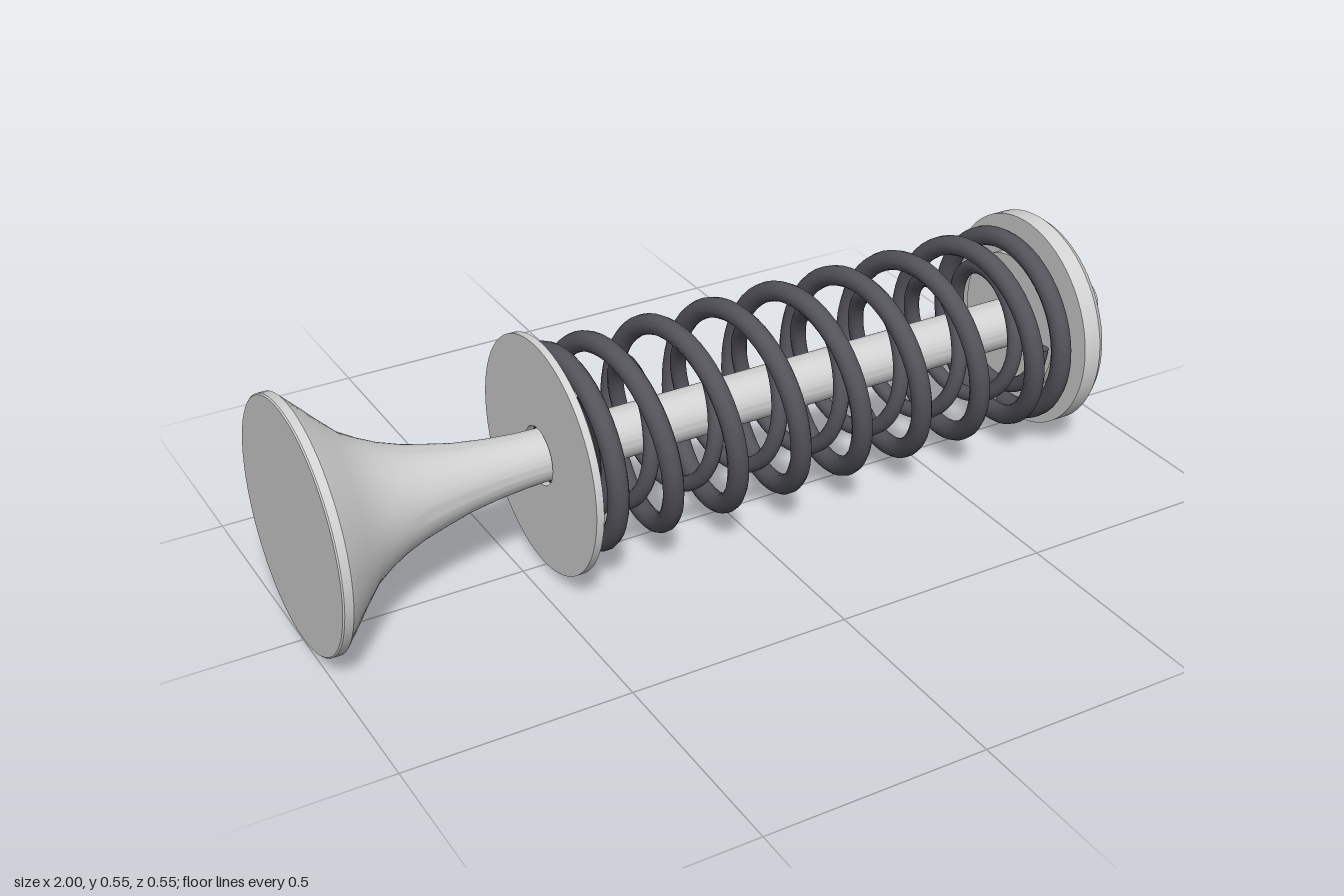
import * as THREE from 'three';
import { toCreasedNormals } from 'three/addons/utils/BufferGeometryUtils.js';

const steel = new THREE.MeshStandardMaterial({ name: 'steel', color: 0xd2d2d2 });
const springSteel = new THREE.MeshStandardMaterial({ name: 'dark spring steel', color: 0x55535b });
const rubber = new THREE.MeshStandardMaterial({ name: 'black rubber', color: 0x2c2c2e });
const brass = new THREE.MeshStandardMaterial({ name: 'brass', color: 0xcbb078 });

// Turned part along x; the profile is a list of [x, radius]
function turned(name, profile, material, crease = 0.5) {
  const points = profile.map(([x, r]) => new THREE.Vector2(r, x));
  const geometry = toCreasedNormals(new THREE.LatheGeometry(points, 64), crease);
  geometry.rotateZ(-Math.PI / 2);
  const mesh = new THREE.Mesh(geometry, material);
  mesh.name = name;
  return mesh;
}

// Helix along x whose pitch follows [turn, x] stops; whole turns are at the top
class Coil extends THREE.Curve {
  constructor(radius, hand, stops) {
    super();
    Object.assign(this, { radius, hand, stops, arcLengthDivisions: 2000 });
  }
  getPoint(t, target = new THREE.Vector3()) {
    const s = this.stops;
    const turn = THREE.MathUtils.lerp(s[0][0], s[s.length - 1][0], t);
    let i = 0;
    while (i < s.length - 2 && turn > s[i + 1][0]) i++;
    const x = THREE.MathUtils.mapLinear(turn, s[i][0], s[i + 1][0], s[i][1], s[i + 1][1]);
    const a = turn * Math.PI * 2;
    return target.set(x, this.radius * Math.cos(a), this.hand * this.radius * Math.sin(a));
  }
}

function spring(name, radius, wire, hand, stops) {
  const group = new THREE.Group();
  group.name = name;
  const coil = new Coil(radius, hand, stops);
  const wireMesh = new THREE.Mesh(new THREE.TubeGeometry(coil, 440, wire, 12), springSteel);
  wireMesh.name = name + 'Wire';
  group.add(wireMesh);
  // Flat cut ends
  for (const [t, sign] of [[0, -1], [1, 1]]) {
    const end = new THREE.Mesh(new THREE.CircleGeometry(wire, 12), springSteel);
    end.name = name + 'End';
    end.position.copy(coil.getPoint(t));
    const direction = coil.getTangent(t).multiplyScalar(sign);
    end.quaternion.setFromUnitVectors(new THREE.Vector3(0, 0, 1), direction);
    group.add(end);
  }
  return group;
}

export function createModel() {
  const model = new THREE.Group();
  model.name = 'valveAssembly';
  const axis = new THREE.Group();
  axis.name = 'valveAxis';
  axis.position.y = 0.275;
  model.add(axis);

  // Valve with flared head and long stem
  axis.add(turned('valve', [
    [-1, 0], [-1, 0.272], [-0.997, 0.275], [-0.978, 0.275], [-0.955, 0.252], [-0.915, 0.21],
    [-0.87, 0.165], [-0.83, 0.14], [-0.79, 0.12], [-0.74, 0.102], [-0.69, 0.089],
    [-0.63, 0.075], [-0.56, 0.065], [-0.49, 0.059], [-0.42, 0.057],
    [0.99, 0.057], [1, 0.051], [1, 0],
  ], steel));

  // Thin washer the springs sit on
  axis.add(turned('springSeat', [
    [-0.45, 0.066], [-0.45, 0.265], [-0.433, 0.265], [-0.433, 0.066], [-0.45, 0.066],
  ], steel));

  // Stem seal inside the springs
  axis.add(turned('stemSeal', [
    [-0.433, 0.056], [-0.433, 0.105], [-0.41, 0.105], [-0.41, 0.09], [-0.345, 0.09],
    [-0.34, 0.098], [-0.325, 0.098], [-0.31, 0.082], [-0.31, 0.056],
  ], rubber));

  // Retainer with inner boss and rounded outer rim
  axis.add(turned('retainer', [
    [0.775, 0.056], [0.775, 0.165], [0.8, 0.165], [0.8, 0.253], [0.842, 0.253],
    [0.858, 0.241], [0.87, 0.215], [0.877, 0.175], [0.881, 0.135], [0.882, 0.1], [0.882, 0.056],
  ], steel));

  // Split collet flush with the retainer face
  axis.add(turned('collet', [
    [0.878, 0.1], [0.8835, 0.1], [0.8835, 0.056],
  ], brass));

  // Outer and inner springs, wound in opposite directions
  axis.add(spring('outerSpring', 0.211, 0.023, 1, [
    [-0.5, -0.41], [0, -0.385], [0.5, -0.36], [1, -0.285],
    [7, 0.655], [7.5, 0.725], [8, 0.755], [8.5, 0.775],
  ]));
  axis.add(spring('innerSpring', 0.147, 0.018, -1, [
    [-0.5, -0.414], [0, -0.395], [0.5, -0.375], [1, -0.345], [1.5, -0.3],
    [2, -0.225], [7.75, 0.68], [8.25, 0.73], [8.75, 0.757],
  ]));

  return model;
}
